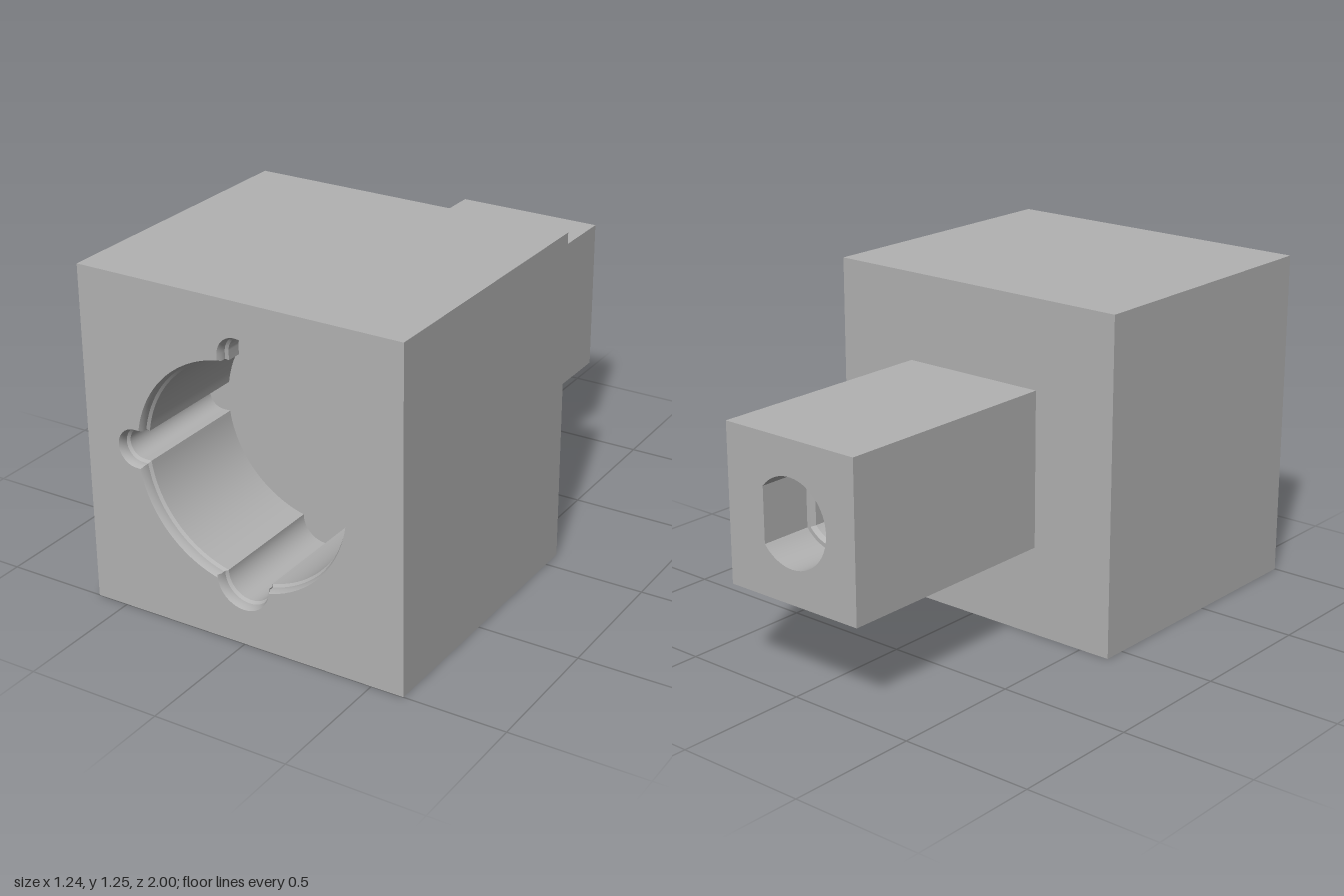
import * as THREE from 'three';
import { toCreasedNormals } from 'three/addons/utils/BufferGeometryUtils.js';

const CY = 0.625; // height of the common axis
const grey = new THREE.MeshStandardMaterial({ color: 0xb2b2b2 });
grey.name = 'plain grey';

const polar = (r, a, x = 0, y = CY) => new THREE.Vector2(x + r * Math.cos(a), y + r * Math.sin(a));

// Counter-clockwise rectangle
const rect = (w, y0, y1) =>
  [[w, y0], [w, y1], [-w, y1], [-w, y0]].map(([x, y]) => new THREE.Vector2(x, y));

// Walls joining closed rings of equal point count; each ring is [points, z]
function loft(rings) {
  const pos = [];
  for (let i = 0; i + 1 < rings.length; i++) {
    const [p, z0] = rings[i], [q, z1] = rings[i + 1];
    for (let j = 0; j < p.length; j++) {
      const k = (j + 1) % p.length;
      const a = new THREE.Vector3(p[j].x, p[j].y, z0), b = new THREE.Vector3(p[k].x, p[k].y, z0);
      const c = new THREE.Vector3(q[k].x, q[k].y, z1), d = new THREE.Vector3(q[j].x, q[j].y, z1);
      for (const t of [[a, b, c], [a, c, d]]) {
        if (new THREE.Triangle(...t).getArea() > 1e-9) t.forEach((v) => pos.push(v.x, v.y, v.z));
      }
    }
  }
  const g = new THREE.BufferGeometry();
  g.setAttribute('position', new THREE.Float32BufferAttribute(pos, 3));
  return toCreasedNormals(g, 0.5);
}

// Flat face at depth z, looking forward or (back = true) backward
function face(points, z, back = false, hole = null) {
  const shape = new THREE.Shape(points);
  if (hole) shape.holes.push(new THREE.Path(hole));
  const g = new THREE.ShapeGeometry(shape).translate(0, 0, z);
  if (back) {
    g.setIndex(Array.from(g.index.array).reverse());
    g.computeVertexNormals();
  }
  return g;
}

// Pocket outline: circle with three round-ended keyways, grown by o
const KEYWAYS = [
  { angle: Math.PI / 2, dist: 0.427, r: 0.056 },
  { angle: Math.PI, dist: 0.422, r: 0.056 },
  { angle: Math.PI * 1.5, dist: 0.388, r: 0.089 },
];
function pocket(o, closeTop = false) {
  const R = 0.397 + o, n = 20, m = 24, pts = [];
  let from = 0;
  const arc = (end) => {
    for (let i = 0; i < m; i++) pts.push(polar(R, from + ((end - from) * i) / m));
  };
  KEYWAYS.forEach(({ angle, dist, r }, k) => {
    const h = Math.asin((r + o) / R);
    arc(angle - h);
    if (closeTop && k === 0) {
      for (let i = 0; i <= n + 2; i++) pts.push(polar(R, angle - h + (2 * h * i) / (n + 2)));
    } else {
      const c = polar(dist, angle);
      pts.push(polar(R, angle - h));
      for (let i = 0; i <= n; i++)
        pts.push(polar(r + o, angle - Math.PI / 2 + (Math.PI * i) / n, c.x, c.y));
      pts.push(polar(R, angle + h));
    }
    from = angle + h;
  });
  arc(Math.PI * 2);
  return pts;
}

// D-shaped bore outline with its flat on +x, wound for walls running forward
function dBore(r, flat) {
  const a = Math.acos(flat / r), n = 48, pts = [];
  for (let i = 0; i <= n; i++) pts.push(polar(r, a + ((Math.PI * 2 - 2 * a) * i) / n));
  return pts.reverse();
}

export function createModel() {
  const model = new THREE.Group();
  const add = (parent, name, g) => {
    const mesh = new THREE.Mesh(g, grey);
    mesh.name = name;
    parent.add(mesh);
  };
  const group = (name) => {
    const g = new THREE.Group();
    g.name = name;
    model.add(g);
    return g;
  };

  const body = rect(0.622, 0, 1.25), shank = rect(0.29, 0.335, 0.92);
  const FRONT = 1, STEP = -0.083, BACK = -1, FLOOR = 0.5;

  // Main block
  const block = group('block');
  add(block, 'blockSides', loft([[body, STEP], [body, FRONT]]));
  add(block, 'blockFront', face(body, FRONT, false, pocket(0.015)));
  add(block, 'blockBack', face(body, STEP, true, shank));

  // Front pocket: bevelled, stepped rim; the top keyway is shallow
  const socket = group('frontPocket');
  add(socket, 'pocketWalls', loft([
    [pocket(0.015), FRONT], [pocket(0.008), 0.985], [pocket(0.008), 0.965],
    [pocket(0), 0.955], [pocket(0), 0.9], [pocket(0, true), 0.9], [pocket(0, true), FLOOR],
  ]));
  add(socket, 'pocketFloor', face(pocket(0, true), FLOOR));

  // Rear shank
  const stem = group('shank');
  const mouth = dBore(0.162, 0.125), inner = dBore(0.135, 0.098);
  add(stem, 'shankSides', loft([[shank, BACK], [shank, STEP]]));
  add(stem, 'shankBack', face(shank, BACK, true, mouth));

  // Stepped D-shaped bore in the shank
  const bore = group('rearBore');
  const lip = dBore(0.147, 0.11);
  add(bore, 'boreWalls', loft([
    [mouth, BACK], [mouth, -0.8], [lip, -0.8], [inner, -0.785], [inner, -0.4],
  ]));
  add(bore, 'boreFloor', face(inner, -0.4, true));

  return model;
}
